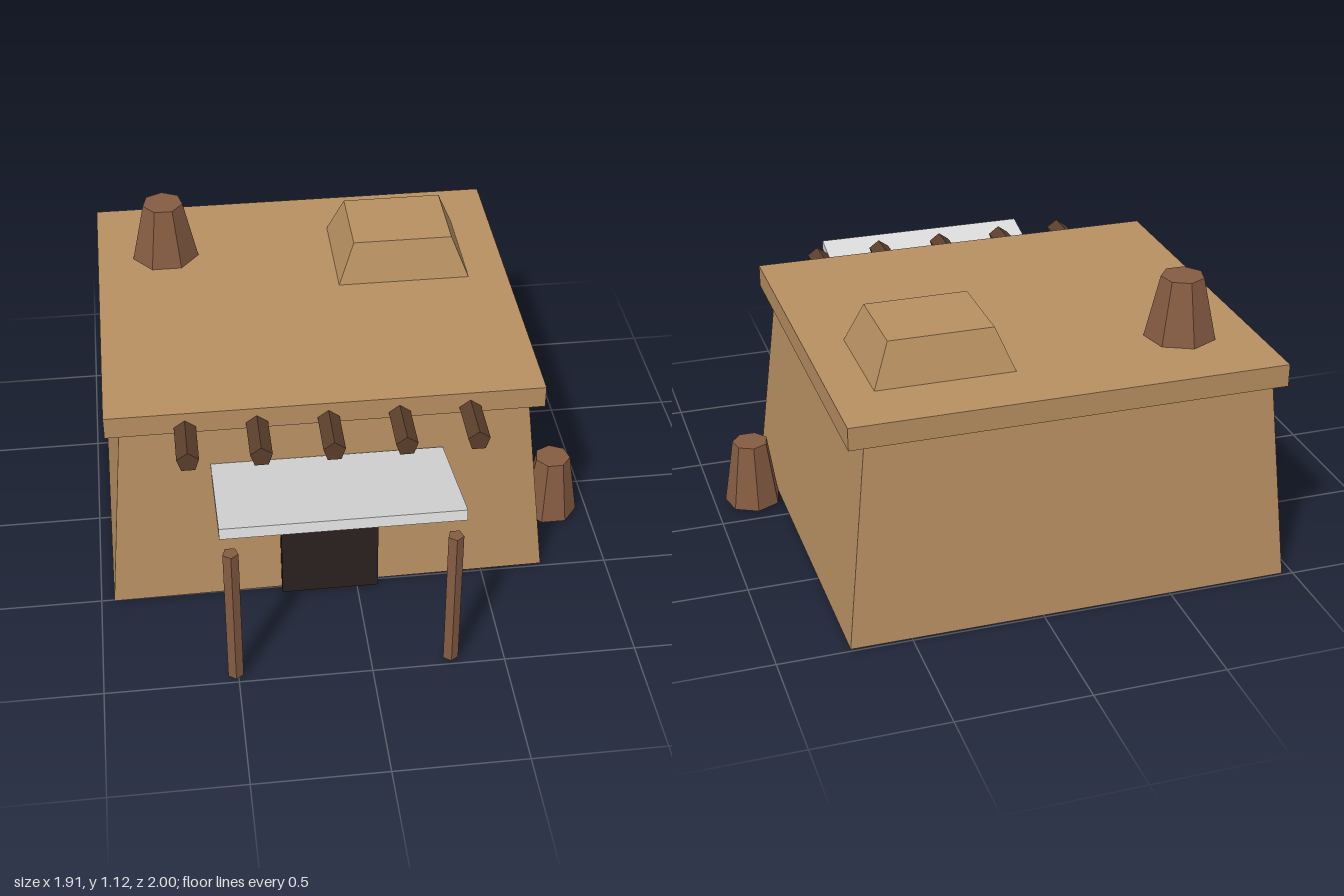
import * as THREE from 'three';

const mat = (name, color) => {
  const m = new THREE.MeshStandardMaterial({ color, flatShading: true });
  m.name = name;
  return m;
};

// Box whose top rectangle is inset; base sits on y = 0
function taperedBox(w, d, h, topW, topD) {
  const g = new THREE.BoxGeometry(w, h, d);
  g.translate(0, h / 2, 0);
  const p = g.attributes.position;
  for (let i = 0; i < p.count; i++) {
    if (p.getY(i) > h / 2) p.setXYZ(i, p.getX(i) * topW / w, h, p.getZ(i) * topD / d);
  }
  g.computeVertexNormals();
  return g;
}

export function createModel() {
  const model = new THREE.Group();
  const adobe = mat('adobe', 0xb89062);
  const clay = mat('clay', 0x855c42);
  const timber = mat('darkTimber', 0x5c3f2c);
  const doorDark = mat('doorDark', 0x2b2120);
  const cloth = mat('paleAwning', 0xd9d9d9);

  const add = (name, geometry, material, x, y, z) => {
    const mesh = new THREE.Mesh(geometry, material);
    mesh.name = name;
    mesh.position.set(x, y, z);
    model.add(mesh);
    return mesh;
  };

  // Sloping walls, set very slightly askew
  const walls = add('walls', taperedBox(1.69, 1.5, 0.81, 1.53, 1.385), adobe, -0.11, 0.01, -0.245);
  walls.rotation.set(-0.003, 0.006, 0.005);

  // Overhanging roof slab and raised roof block
  add('roofSlab', new THREE.BoxGeometry(1.64, 0.087, 1.46), adobe, -0.11, 0.838, -0.24);
  add('roofBlock', taperedBox(0.53, 0.445, 0.165, 0.395, 0.33), adobe, 0.29, 0.876, -0.508);

  // Seven-sided chimney and pot
  const pot = (name, rTop, rBottom, h, x, y, z) => {
    add(name, new THREE.CylinderGeometry(rTop, rBottom, h, 7), clay, x, y + h / 2, z).rotation.y = Math.PI;
  };
  pot('chimney', 0.082, 0.138, 0.245, -0.653, 0.875, -0.612);
  pot('groundPot', 0.071, 0.112, 0.263, 0.846, 0.012, 0.152);

  // Door block standing proud of the wall
  add('door', new THREE.BoxGeometry(0.375, 0.545, 0.12), doorDark, -0.107, 0.283, 0.48);

  // Roof beam ends, pentagonal with a point upward
  for (let i = 0; i < 5; i++) {
    const beam = new THREE.CylinderGeometry(0.043, 0.043, 0.28, 5);
    beam.rotateX(-Math.PI / 2);
    add('roofBeam', beam, timber, -0.635 + i * 0.265, 0.806, 0.543);
  }

  // Sloping awning and its posts
  add('awning', new THREE.BoxGeometry(0.88, 0.04, 0.54), cloth, -0.108, 0.663, 0.733).rotation.x = -0.24;
  for (const x of [-0.51, 0.298]) {
    add('awningPost', new THREE.CylinderGeometry(0.03, 0.03, 0.597, 5), clay, x, 0.312, 0.965);
  }

  return model;
}
